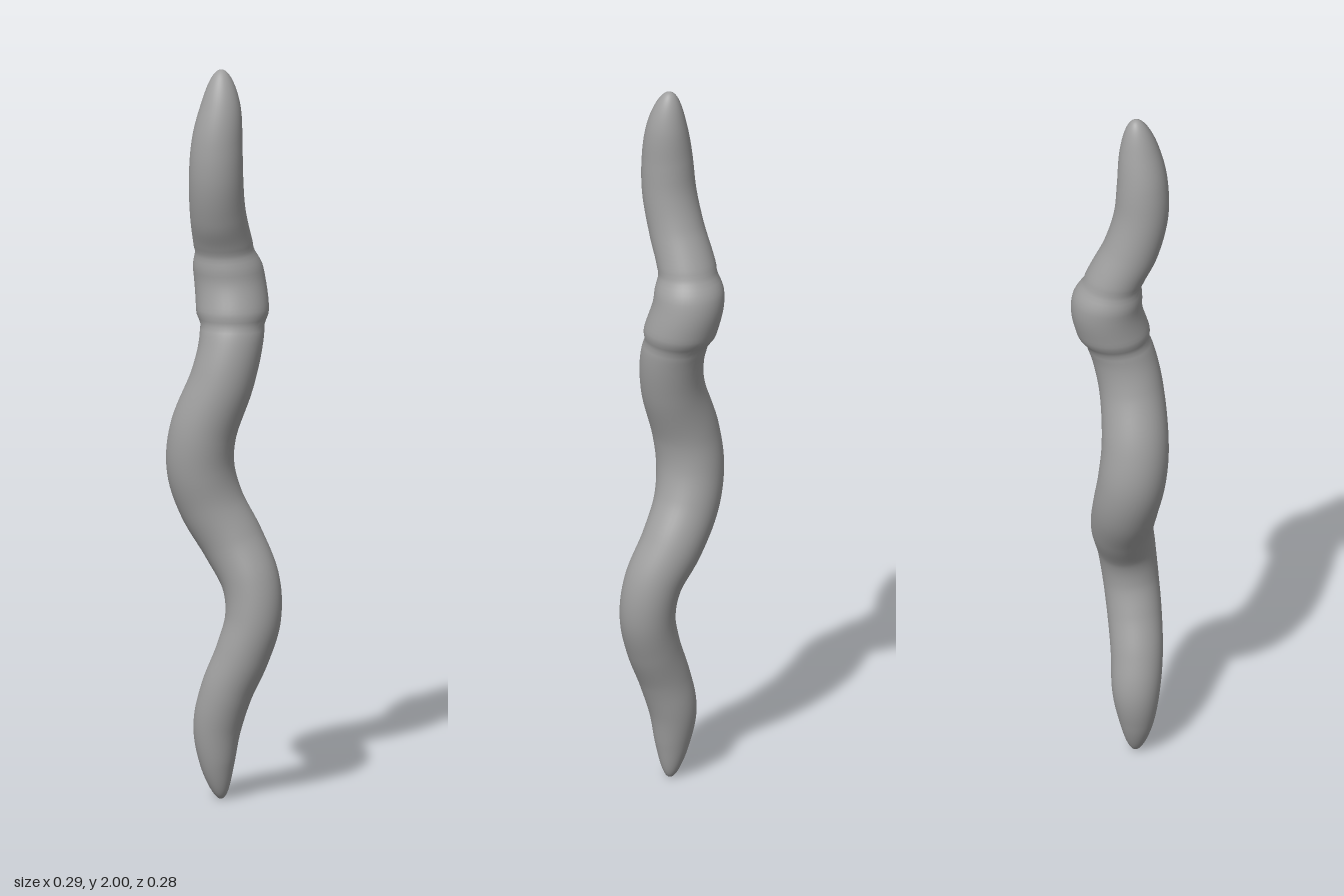
import * as THREE from 'three';

const { smoothstep, clamp } = THREE.MathUtils;

// Spine stations: height, centre x, centre z, body radius
const spine = [
  [0, -0.01, 0.016, 0.05], [0.1, -0.02, 0.011, 0.059], [0.2, -0.019, 0.01, 0.066],
  [0.3, 0, 0.03, 0.07], [0.4, 0.035, 0.053, 0.073], [0.5, 0.062, 0.063, 0.075],
  [0.6, 0.061, 0.047, 0.078], [0.7, 0.028, 0.003, 0.084], [0.8, -0.02, -0.027, 0.088],
  [0.9, -0.05, -0.032, 0.091], [1, -0.049, -0.02, 0.09], [1.15, -0.003, 0.007, 0.086],
  [1.25, 0.024, 0.002, 0.086], [1.33, 0.038, -0.022, 0.088], [1.42, 0.038, -0.045, 0.085],
  [1.5, 0.019, -0.037, 0.08], [1.6, -0.012, -0.003, 0.075], [1.7, -0.027, 0.02, 0.073],
  [1.8, -0.027, 0.026, 0.07], [1.9, -0.016, 0.025, 0.068], [2, -0.01, 0.016, 0.064],
];
const curve = new THREE.CubicInterpolant(
  spine.map(s => s[0]), spine.flatMap(s => s.slice(1)), 3, new Float32Array(3));
const sample = y => Array.from(curve.evaluate(clamp(y, 0, 2)));

function radiusAt(y, base) {
  // elliptical taper at both ends
  const end = Math.min(1, Math.min(y, 2 - y) / 0.25);
  const taper = Math.sqrt(Math.max(0, 1 - (1 - end) ** 2));
  // gently raised saddle band with a shallow groove at each edge
  const band = smoothstep(y, 1.29, 1.33) * (1 - smoothstep(y, 1.44, 1.495));
  const groove = c => Math.exp(-(((y - c) / 0.012) ** 2));
  return base * taper + 0.01 * band - 0.002 * (groove(1.295) + groove(1.49));
}

function bodyGeometry(rings = 260, sides = 40) {
  const pos = [], index = [];
  for (let i = 0; i <= rings; i++) {
    // rings crowd together towards the rounded tips
    const u = i / rings;
    const y = 2 * (u - 0.85 * Math.sin(2 * Math.PI * u) / (2 * Math.PI));
    const [x, z, base] = sample(y);
    const y0 = Math.max(0, y - 0.01), y1 = Math.min(2, y + 0.01);
    const a = sample(y0), b = sample(y1);
    // rings follow the bends, but lie nearly level around the band
    const lean = 1 - 0.8 * smoothstep(y, 1.1, 1.29) * (1 - smoothstep(y, 1.5, 1.68));
    const tangent = new THREE.Vector3(
      (b[0] - a[0]) * lean, y1 - y0, (b[1] - a[1]) * lean).normalize();
    const side = new THREE.Vector3(0, 0, 1).cross(tangent).negate().normalize();
    const front = new THREE.Vector3().crossVectors(side, tangent);
    const r = radiusAt(y, base);
    for (let j = 0; j < sides; j++) {
      const t = j / sides * Math.PI * 2;
      const p = new THREE.Vector3(x, y, z)
        .addScaledVector(side, r * Math.cos(t)).addScaledVector(front, r * Math.sin(t));
      pos.push(p.x, p.y, p.z);
      if (i < rings) {
        const k = i * sides + j, n = i * sides + (j + 1) % sides;
        index.push(k, k + sides, n, n, k + sides, n + sides);
      }
    }
  }
  const g = new THREE.BufferGeometry();
  g.setAttribute('position', new THREE.Float32BufferAttribute(pos, 3));
  g.setIndex(index);
  g.computeVertexNormals();
  return g;
}

export function createModel() {
  const group = new THREE.Group();
  group.name = 'worm';
  const body = new THREE.Mesh(bodyGeometry(),
    new THREE.MeshStandardMaterial({ color: 0xa0a0a0 }));
  body.name = 'body';
  group.add(body);
  return group;
}
